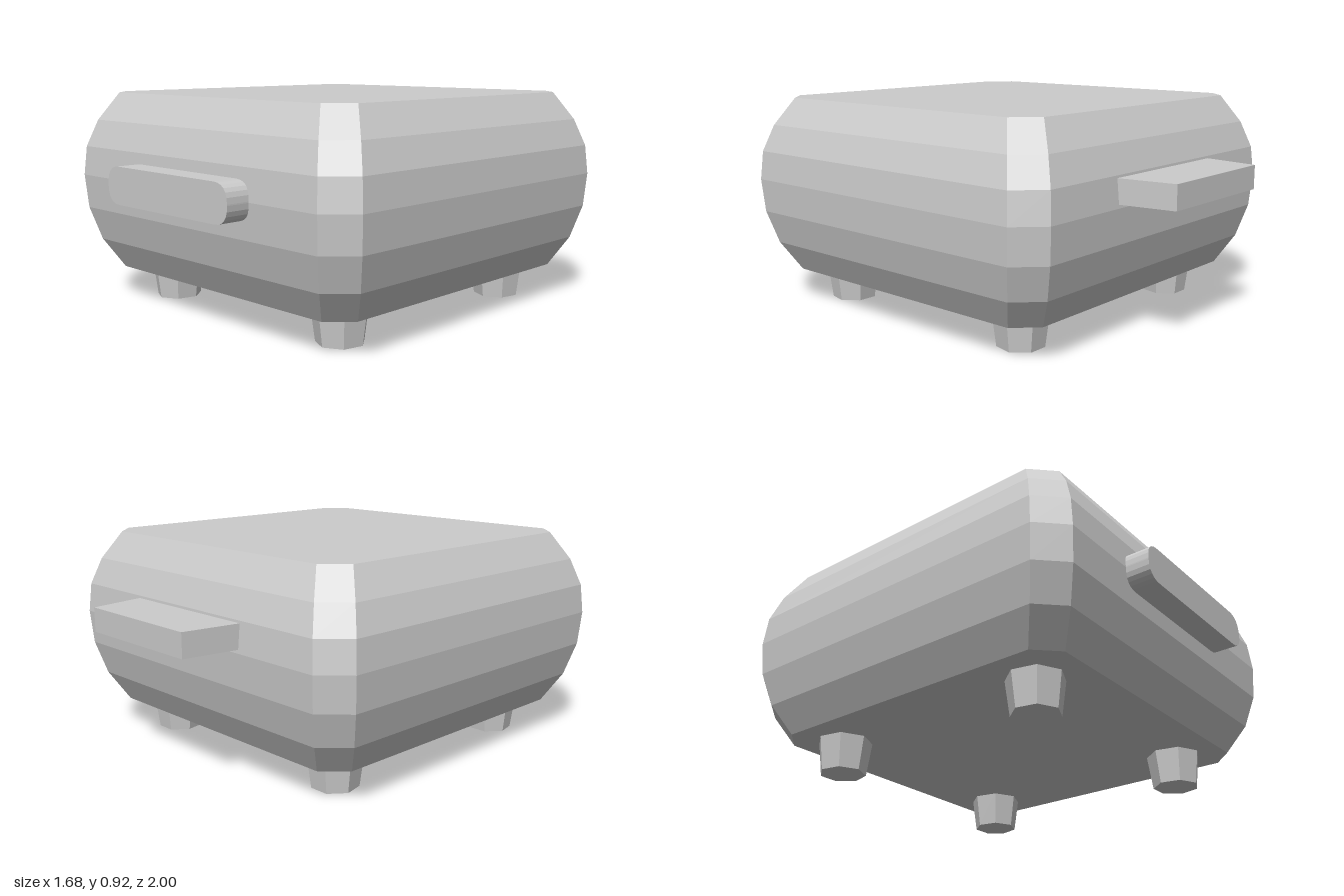
import * as THREE from 'three';

const material = new THREE.MeshStandardMaterial({ color: 0xcccccc, flatShading: true });
const BODY_Z = 0.065;

function addPart(group, name, geometry, x = 0, y = 0, z = 0) {
  const mesh = new THREE.Mesh(geometry, material);
  mesh.name = name;
  mesh.position.set(x, y, z);
  group.add(mesh);
}

// Closed shell through chamfered squares; profile lists [half width, height] upwards
function chamferedShell(profile) {
  const rings = profile.map(([w, y]) => {
    const c = w * 0.872;
    return [[-c, w], [c, w], [w, c], [w, -c], [c, -w], [-c, -w], [-w, -c], [-w, c]]
      .map(([x, z]) => [x, y, z]);
  });
  const positions = [];
  const tri = (a, b, c) => positions.push(...a, ...b, ...c);
  for (let r = 0; r < rings.length - 1; r++) {
    const low = rings[r], high = rings[r + 1];
    for (let i = 0; i < 8; i++) {
      const j = (i + 1) % 8;
      tri(low[i], low[j], high[j]);
      tri(low[i], high[j], high[i]);
    }
  }
  const bottom = rings[0], top = rings[rings.length - 1];
  for (let i = 1; i < 7; i++) {
    tri(bottom[0], bottom[i + 1], bottom[i]);
    tri(top[0], top[i], top[i + 1]);
  }
  const geometry = new THREE.BufferGeometry();
  geometry.setAttribute('position', new THREE.Float32BufferAttribute(positions, 3));
  geometry.computeVertexNormals();
  return geometry;
}

// Rounded bar, extruded along z
function roundedBar(w, h, r, depth) {
  const s = new THREE.Shape();
  const x = w / 2, y = h / 2;
  s.moveTo(-x + r, -y);
  s.lineTo(x - r, -y);
  s.quadraticCurveTo(x, -y, x, -y + r);
  s.lineTo(x, y - r);
  s.quadraticCurveTo(x, y, x - r, y);
  s.lineTo(-x + r, y);
  s.quadraticCurveTo(-x, y, -x, y - r);
  s.lineTo(-x, -y + r);
  s.quadraticCurveTo(-x, -y, -x + r, -y);
  return new THREE.ExtrudeGeometry(s, { depth, bevelEnabled: false, curveSegments: 6 });
}

// Flat block narrowing towards the back
function hingeBlock() {
  const s = new THREE.Shape([[-0.34, 0.7], [0.34, 0.7], [0.295, 1], [-0.295, 1]]
    .map(([x, y]) => new THREE.Vector2(x, y)));
  return new THREE.ExtrudeGeometry(s, { depth: 0.1, bevelEnabled: false }).rotateX(-Math.PI / 2);
}

export function createModel() {
  const model = new THREE.Group();
  model.name = 'tabletopGrill';

  // Lower and upper shells meet at the seam
  addPart(model, 'base', chamferedShell([[0.715, 0.145], [0.787, 0.272], [0.827, 0.415], [0.838, 0.56]]), 0, 0, BODY_Z);
  addPart(model, 'lid', chamferedShell([[0.838, 0.56], [0.827, 0.685], [0.787, 0.8], [0.715, 0.918]]), 0, 0, BODY_Z);

  // Front handle and rear hinge
  addPart(model, 'frontHandle', roundedBar(0.76, 0.155, 0.075, 0.14), 0, 0.562, 0.86);
  addPart(model, 'rearHinge', hingeBlock(), 0, 0.575, 0);

  // Four tapered feet
  for (const sx of [-1, 1]) {
    for (const sz of [-1, 1]) {
      const name = (sz > 0 ? 'front' : 'back') + (sx > 0 ? 'Left' : 'Right') + 'Foot';
      addPart(model, name, new THREE.CylinderGeometry(0.118, 0.098, 0.15, 7), sx * 0.515, 0.075, BODY_Z - 0.003 + sz * 0.51);
    }
  }
  return model;
}
